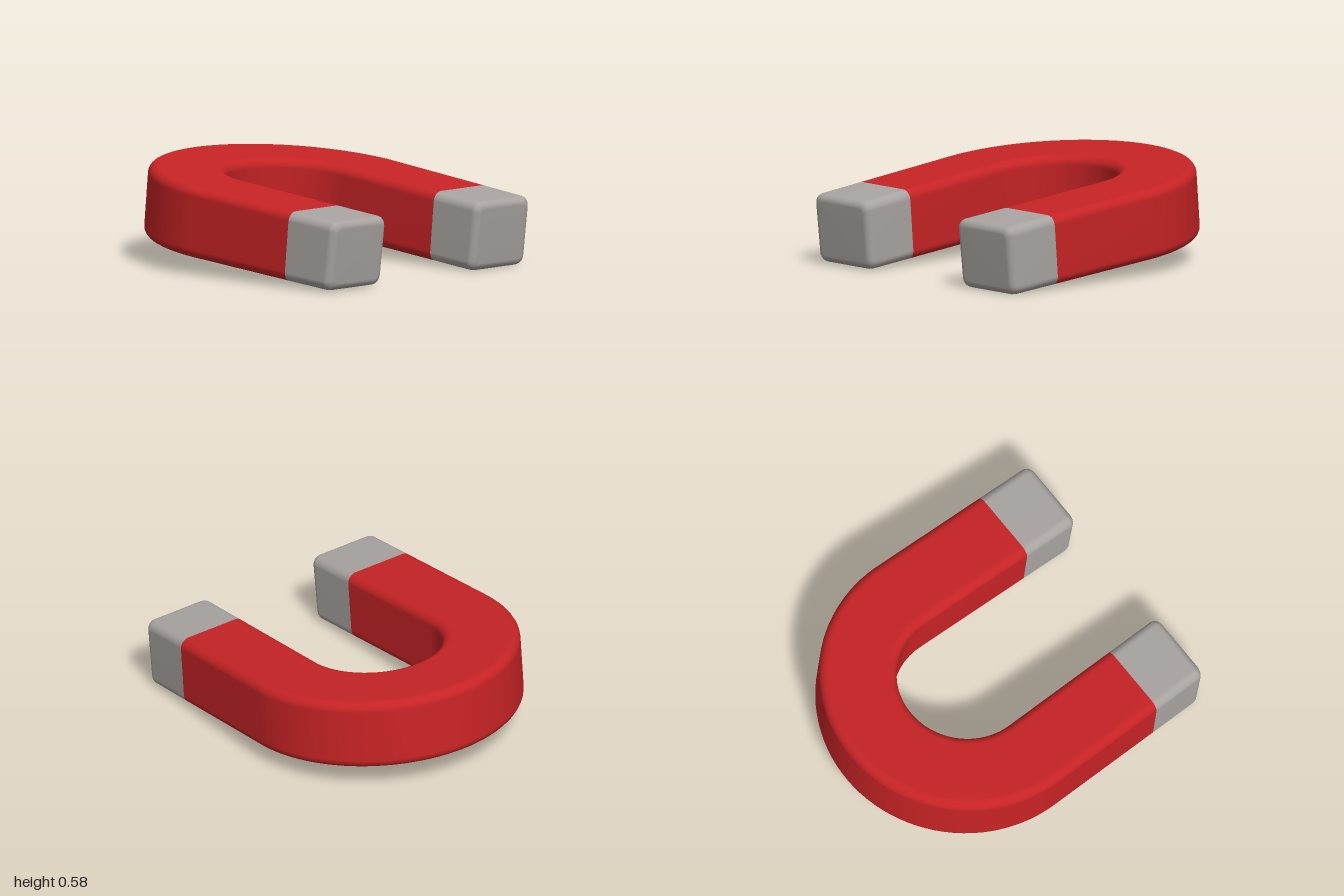
import * as THREE from 'three';

const WIDTH = 0.453;   // limb thickness in plan
const BEND_X = -0.134; // centre of the bend
const BEND_R = 0.625;  // centreline radius of the bend
const SEAM_X = 0.627;  // where the red body meets the bare poles
const TIP_X = 0.98;
const ROUND = 0.055;   // edge rounding
const STEPS = 6;       // points per rounded corner

// Centreline z of a straight limb, which closes in slightly towards the tip
const limbZ = x => 0.625 - 0.0225 * (x - BEND_X);

// Rounded rectangle, counter-clockwise in (u outward, v up)
function section(halfW, halfH, r) {
  const pts = [];
  [[1, 1], [-1, 1], [-1, -1], [1, -1]].forEach(([su, sv], c) => {
    for (let k = 0; k < STEPS; k++) {
      const a = (c + k / (STEPS - 1)) * Math.PI / 2;
      pts.push([su * (halfW - r) + r * Math.cos(a), sv * (halfH - r) + r * Math.sin(a)]);
    }
  });
  return pts;
}

// Skin sections along stations { x, z, ux, uz, inset, skew }; optionally close the end
function sweep(stations, capEnd) {
  const pos = [], index = [];
  const n = STEPS * 4;
  stations.forEach(({ x, z, ux, uz, inset = 0, skew = 0 }, i) => {
    const halfH = 0.209 - 0.004 * x;
    for (const [u, v] of section(WIDTH / 2 - inset, halfH - inset, ROUND - inset * 0.7)) {
      pos.push(x + ux * u + skew * v, v, z + uz * u);
    }
    if (i === 0) return;
    for (let j = 0; j < n; j++) {
      const a = (i - 1) * n + j, b = (i - 1) * n + (j + 1) % n;
      index.push(a, b, a + n, b, b + n, a + n);
    }
  });
  if (capEnd) {
    const last = stations[stations.length - 1], base = (stations.length - 1) * n;
    pos.push(last.x, 0, last.z);
    for (let j = 0; j < n; j++) index.push(base + n, base + j, base + (j + 1) % n);
  }
  const geo = new THREE.BufferGeometry();
  geo.setAttribute('position', new THREE.Float32BufferAttribute(pos, 3));
  geo.setIndex(index);
  geo.computeVertexNormals();
  return geo;
}

function addMesh(parent, name, geo, material) {
  const mesh = new THREE.Mesh(geo, material);
  mesh.name = name;
  parent.add(mesh);
}

export function createModel() {
  const red = new THREE.MeshStandardMaterial({ name: 'red paint', color: 0xc72325 });
  const steel = new THREE.MeshStandardMaterial({ name: 'bare steel', color: 0xa9a4a1 });

  const magnet = new THREE.Group();
  magnet.name = 'magnet';

  // Red body: front limb, half-circle bend, back limb
  const path = [];
  const limb = (x, side) => ({ x, z: side * limbZ(x), ux: 0, uz: side });
  path.push(limb(SEAM_X, 1), limb(SEAM_X - 0.04, 1), limb(0.25, 1));
  for (let i = 0; i <= 48; i++) {
    const a = Math.PI / 2 + Math.PI * i / 48;
    const ux = Math.cos(a), uz = Math.sin(a);
    path.push({ x: BEND_X + BEND_R * ux, z: BEND_R * uz, ux, uz });
  }
  path.push(limb(0.25, -1), limb(SEAM_X - 0.04, -1), limb(SEAM_X, -1));
  addMesh(magnet, 'body', sweep(path, false), red);

  // Bare poles with rounded ends
  for (const side of [1, -1]) {
    const stations = [];
    const add = (x, inset, skew) =>
      stations.push({ x, z: side * limbZ(x), ux: 0, uz: -1, inset, skew });
    add(SEAM_X, 0, 0);
    add(SEAM_X + 0.04, 0, 0);
    const r = 0.045;
    for (let k = 0; k < STEPS; k++) {
      const a = k / (STEPS - 1) * Math.PI / 2;
      add(TIP_X - r + r * Math.sin(a), r * (1 - Math.cos(a)), 0.03);
    }
    addMesh(magnet, side > 0 ? 'frontPole' : 'backPole', sweep(stations, true), steel);
  }

  // The poles rest on the ground while the bend is lifted
  magnet.rotation.set(-0.007, 0, -0.088);

  const model = new THREE.Group();
  model.name = 'horseshoeMagnet';
  model.add(magnet);
  model.updateMatrixWorld(true);
  const box = new THREE.Box3().setFromObject(model, true);
  const c = box.getCenter(new THREE.Vector3());
  magnet.position.set(-c.x, -box.min.y, -c.z);
  return model;
}
